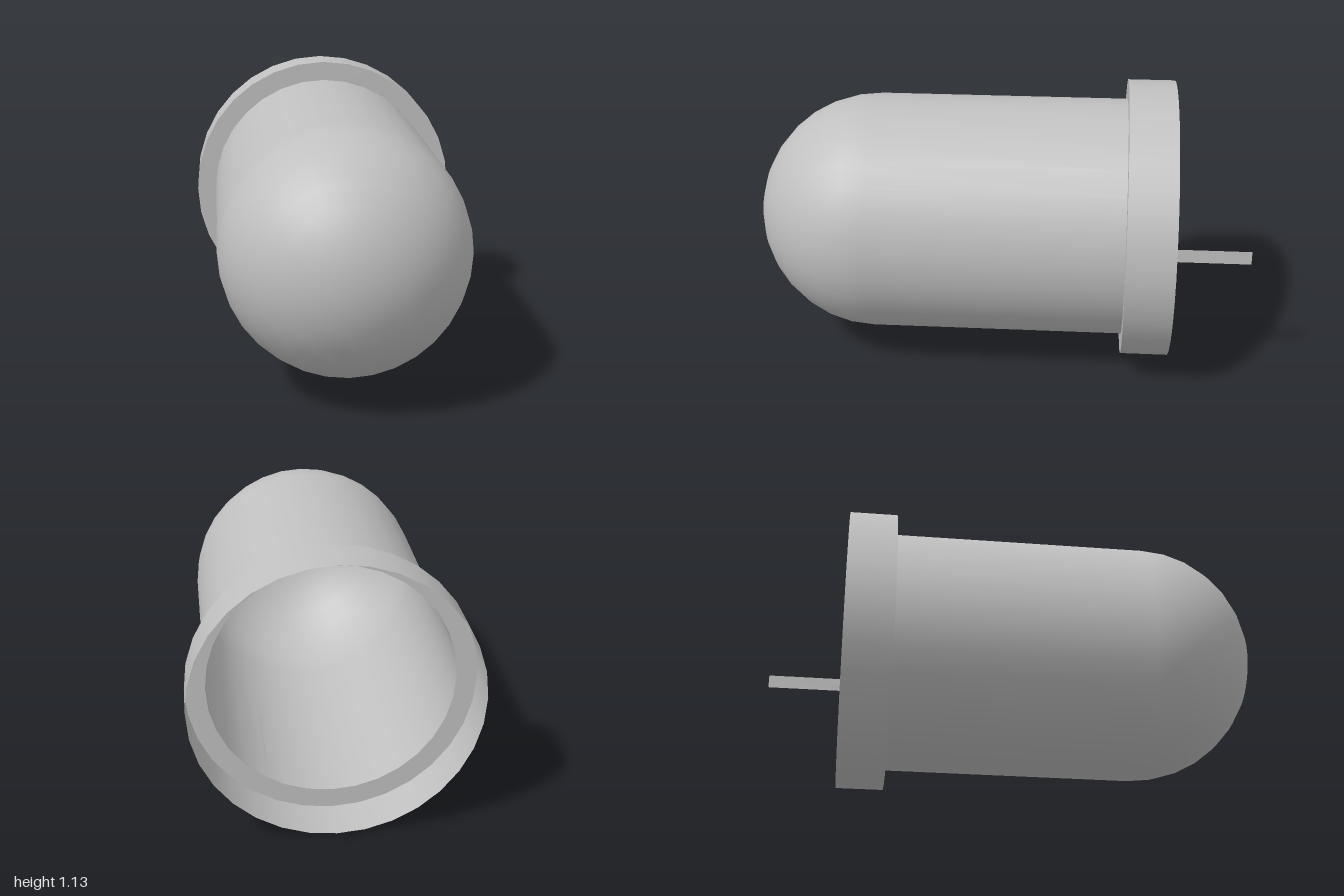
import * as THREE from 'three';

const AXIS_Y = 0.565;      // height of the long axis
const BODY_R = 0.485;
const FLANGE_R = 0.565;
const DOME_Z = 0.515;      // where the tube meets the dome
const STEP_Z = -0.5;       // where the tube meets the flange
const BACK_Z = -0.69;      // open rear rim
const SIDES = 32;

export function createModel() {
  const group = new THREE.Group();
  const grey = new THREE.MeshStandardMaterial({ color: 0xc0c0c0, side: THREE.DoubleSide });
  grey.name = 'grey';

  const add = (name, geometry, x, y, z) => {
    const mesh = new THREE.Mesh(geometry, grey);
    mesh.name = name;
    mesh.position.set(x, y, z);
    group.add(mesh);
  };

  // Open thin-walled tube running along z
  const tube = (name, radius, z0, z1) => {
    const geometry = new THREE.CylinderGeometry(radius, radius, z1 - z0, SIDES, 1, true);
    add(name, geometry.rotateX(Math.PI / 2), 0, AXIS_Y, (z0 + z1) / 2);
  };

  // Hollow body with a rounded nose
  tube('body', BODY_R, STEP_Z, DOME_Z);
  const dome = new THREE.SphereGeometry(BODY_R, SIDES, 8, 0, Math.PI * 2, 0, Math.PI / 2);
  add('dome', dome.rotateX(Math.PI / 2), 0, AXIS_Y, DOME_Z);

  // Wider collar, open at the back, with a flat step facing forward
  tube('flange', FLANGE_R, BACK_Z, STEP_Z);
  add('flangeStep', new THREE.RingGeometry(BODY_R, FLANGE_R, SIDES), 0, AXIS_Y, STEP_Z);

  // Flat upright strip projecting behind the rim
  const strip = new THREE.PlaneGeometry(1 + BACK_Z, 0.055).rotateY(Math.PI / 2);
  add('leadStrip', strip, 0.29, 0.535, (BACK_Z - 1) / 2);

  return group;
}
